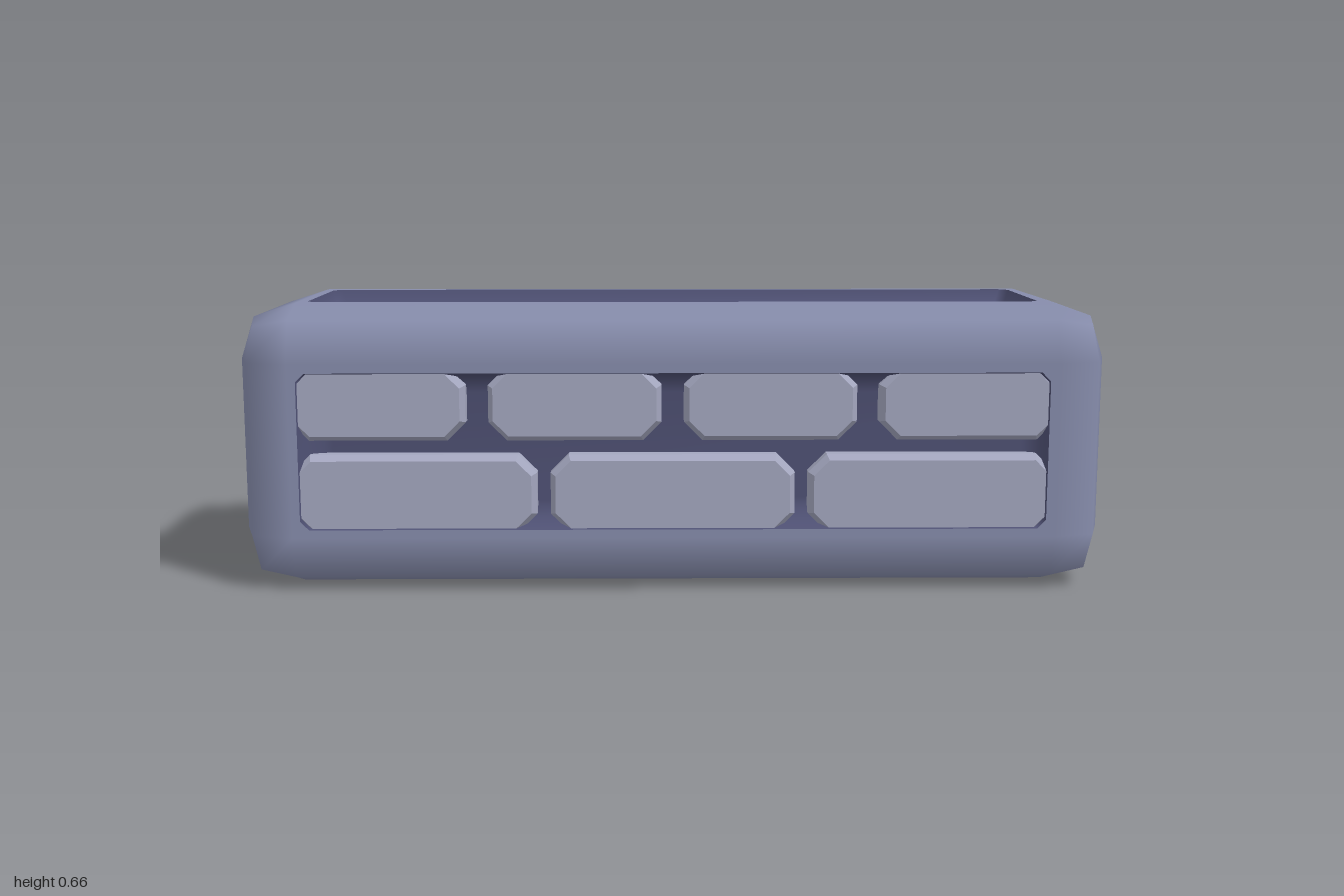
import * as THREE from 'three';

const HALF = 0.328, LONG = 1, R = 0.128, RIM = 0.148;

const mat = (name, color, side = THREE.FrontSide) => {
  const m = new THREE.MeshStandardMaterial({ color, side });
  m.name = name;
  return m;
};

function mesh(name, geometry, material) {
  const m = new THREE.Mesh(geometry, material);
  m.name = name;
  return m;
}

// Rectangle with cut corners, counter-clockwise
function octagon(x0, x1, y0, y1, c) {
  return [
    [x0 + c, y0], [x1 - c, y0], [x1, y0 + c], [x1, y1 - c],
    [x1 - c, y1], [x0 + c, y1], [x0, y1 - c], [x0, y0 + c],
  ].map(([x, y]) => new THREE.Vector2(x, y));
}

function build(pos, idx, normals) {
  const g = new THREE.BufferGeometry();
  g.setAttribute('position', new THREE.Float32BufferAttribute(pos, 3));
  g.setIndex(idx);
  if (normals) g.setAttribute('normal', new THREE.Float32BufferAttribute(normals, 3));
  else g.computeVertexNormals();
  return g;
}

// Rounded border of one face: a 3 x 3 grid without its centre cell
function borderGeometry(w, h, d) {
  const pos = [], nor = [], idx = [];
  const lines = (s) => [-s, -(s - R), s - R, s];
  for (const y of lines(h)) for (const x of lines(w)) {
    const q = new THREE.Vector3(
      THREE.MathUtils.clamp(x, R - w, w - R), THREE.MathUtils.clamp(y, R - h, h - R), d - R);
    const n = new THREE.Vector3(x, y, d).sub(q);
    const len = (Math.abs(n.x) ** 2.5 + Math.abs(n.y) ** 2.5 + n.z ** 2.5) ** 0.4;
    pos.push(...q.addScaledVector(n, R / len).toArray());
    nor.push(...n.normalize().toArray());
  }
  for (let j = 0; j < 3; j++) for (let i = 0; i < 3; i++) {
    if (i === 1 && j === 1) continue;
    const a = j * 4 + i;
    idx.push(a, a + 1, a + 5, a, a + 5, a + 4);
  }
  return build(pos, idx, nor);
}

// Flat lip around the opening
function lipGeometry(w, h, d) {
  const s = new THREE.Shape(octagon(R - w, w - R, R - h, h - R, 0));
  const x = w - RIM, y = h - RIM;
  s.holes.push(new THREE.Path(octagon(-x, x, -y, y, 0.02).reverse()));
  return new THREE.ShapeGeometry(s).translate(0, 0, d);
}

// Shallow dish set into the opening
function dishGeometry(w, h, d) {
  const pos = [], idx = [];
  const loops = [[0, 0], [0.012, 0.035], [0.05, 0.055]];
  for (const [inset, depth] of loops) {
    const x = w - RIM - inset, y = h - RIM - inset;
    for (const p of octagon(-x, x, -y, y, 0.02)) pos.push(p.x, p.y, d - depth);
  }
  for (let k = 0; k < 2; k++) for (let i = 0; i < 8; i++) {
    const a = k * 8 + i, b = k * 8 + (i + 1) % 8;
    idx.push(a, b, b + 8, a, b + 8, a + 8);
  }
  for (let i = 1; i < 7; i++) idx.push(16, 16 + i, 17 + i);
  return build(pos, idx);
}

// Brick with cut corners and a bevelled front
function brickGeometry(x0, x1, y0, y1) {
  const g = new THREE.ExtrudeGeometry(new THREE.Shape(octagon(x0, x1, y0, y1, 0.035)), {
    depth: 0.05, bevelEnabled: true, bevelThickness: 0.02, bevelSize: 0.012, bevelSegments: 1,
  });
  return g.translate(0, 0, HALF - 0.076);
}

export function createModel() {
  const model = new THREE.Group();
  model.name = 'brickBlock';
  const shell = mat('slate blue shell', 0x868cab);
  const dark = mat('dark indigo recess', 0x4f5174, THREE.DoubleSide);
  const stone = mat('pale brick', 0xa3a6be);

  // Six faces: half width, half height, half depth, rotation
  const q = Math.PI / 2;
  const faces = [
    ['front', LONG, HALF, HALF, 0, 0], ['back', LONG, HALF, HALF, 0, 2 * q],
    ['left', HALF, HALF, LONG, 0, q], ['right', HALF, HALF, LONG, 0, -q],
    ['top', LONG, HALF, HALF, -q, 0], ['bottom', LONG, HALF, HALF, q, 0],
  ];
  // Four bricks over three, relative to the block's centre
  const rows = [
    [0.035, 0.18, [[-0.86, -0.485], [-0.41, -0.04], [0.035, 0.405], [0.48, 0.86]]],
    [-0.178, -0.022, [[-0.86, -0.325], [-0.27, 0.265], [0.32, 0.86]]],
  ];

  for (const [name, w, h, d, rx, ry] of faces) {
    const face = new THREE.Group();
    face.name = name + 'Face';
    face.rotation.set(rx, ry, 0);
    face.position.y = HALF;
    face.add(
      mesh(name + 'Border', borderGeometry(w, h, d), shell),
      mesh(name + 'Lip', lipGeometry(w, h, d), shell),
      mesh(name + 'Recess', dishGeometry(w, h, d), dark));
    if (name === 'front' || name === 'back') {
      for (const [y0, y1, spans] of rows) for (const [x0, x1] of spans)
        face.add(mesh(name + 'Brick', brickGeometry(x0, x1, y0, y1), stone));
    }
    model.add(face);
  }
  return model;
}
